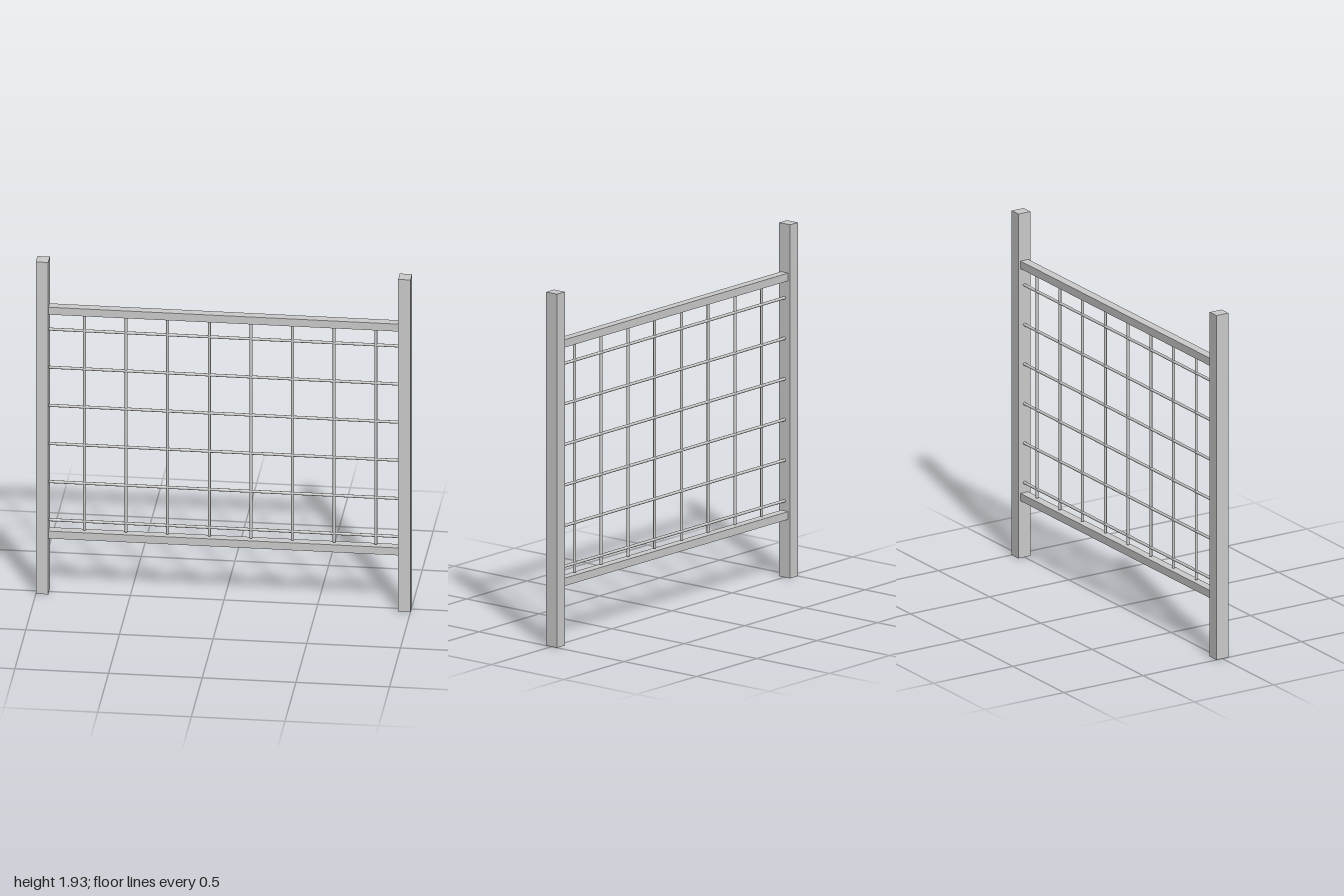
import * as THREE from 'three';

const material = new THREE.MeshStandardMaterial({ color: 0xcccccc });

export function createModel() {
  const group = new THREE.Group();
  const add = (name, geometry, x, y) => {
    const mesh = new THREE.Mesh(geometry, material);
    mesh.name = name;
    mesh.position.set(x, y, 0);
    group.add(mesh);
    return mesh;
  };

  // Square end posts
  const postHeight = 1.935, postWidth = 0.066;
  const postGeometry = new THREE.BoxGeometry(postWidth, postHeight, 0.075);
  add('leftPost', postGeometry, 1 - postWidth / 2, postHeight / 2);
  add('rightPost', postGeometry, -1 + postWidth / 2, postHeight / 2);

  // Rails between the posts
  const span = 2 - 2 * postWidth;
  const railGeometry = new THREE.BoxGeometry(span, 0.043, 0.05);
  add('topRail', railGeometry, 0, 1.647);
  add('bottomRail', railGeometry, 0, 0.342);

  // Mesh of round wires: verticals stop just above the bottom rail
  const pitch = 0.2222, radius = 0.008;
  const bottom = 0.37, top = 1.63;
  const verticalGeometry = new THREE.CylinderGeometry(radius, radius, top - bottom, 16);
  for (let i = 0; i < 8; i++) {
    add('verticalWire', verticalGeometry, -0.745 + i * pitch, (top + bottom) / 2);
  }
  const horizontalGeometry = new THREE.CylinderGeometry(radius, radius, span, 16).rotateZ(Math.PI / 2);
  for (let i = 0; i < 6; i++) {
    add('horizontalWire', horizontalGeometry, 0, 0.419 + i * pitch);
  }

  return group;
}
